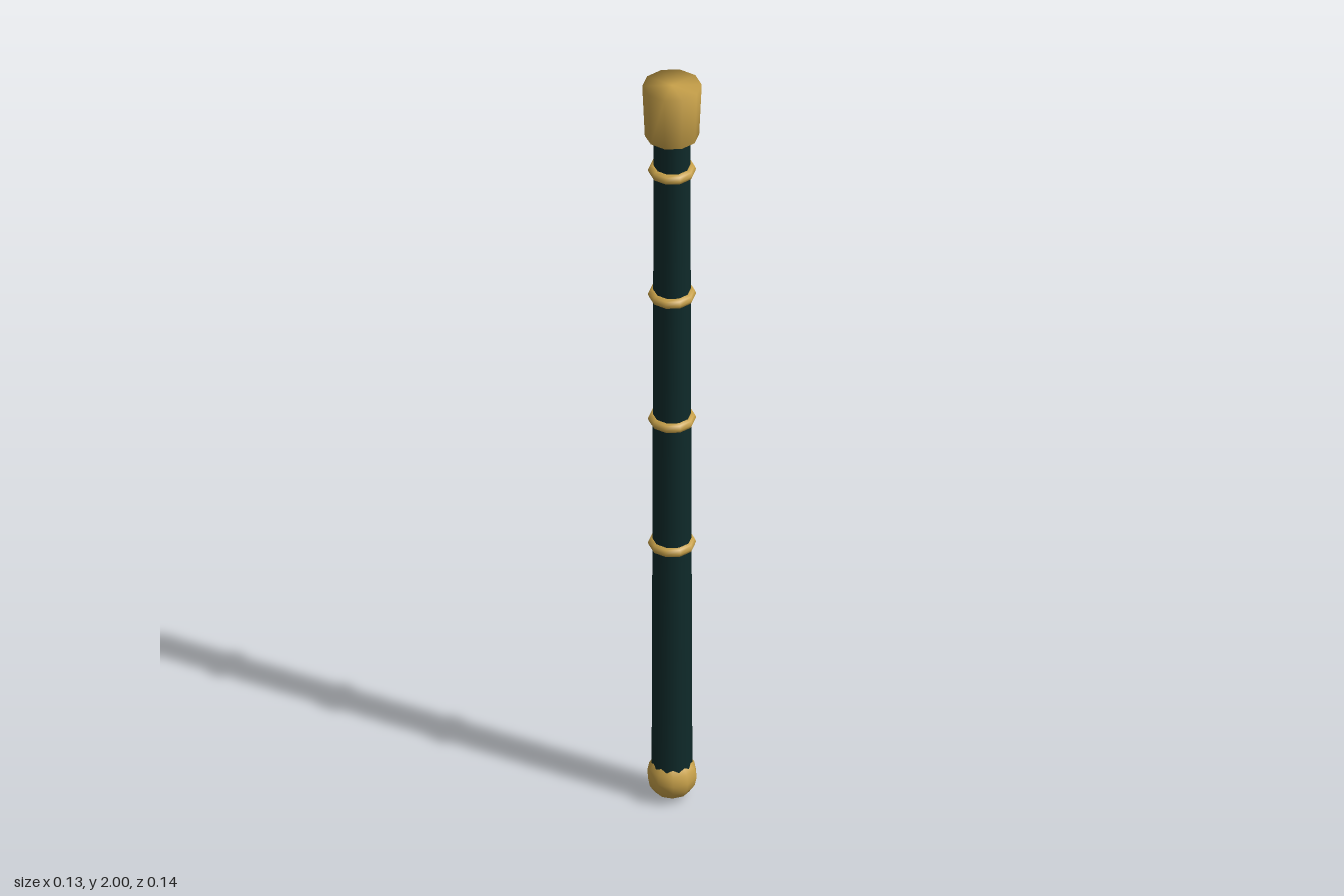
import * as THREE from 'three';
import { mergeVertices } from 'three/addons/utils/BufferGeometryUtils.js';

const SIDES = 10;

// Weld a geometry so its shading runs smoothly over every edge
function soften(geometry) {
  geometry.deleteAttribute('uv');
  geometry.deleteAttribute('normal');
  const welded = mergeVertices(geometry, 1e-4);
  welded.computeVertexNormals();
  return welded;
}

export function createModel() {
  const model = new THREE.Group();
  model.name = 'staff';
  const gold = new THREE.MeshStandardMaterial({ color: 0xc9a24a });
  gold.name = 'gold';
  const darkTeal = new THREE.MeshStandardMaterial({ color: 0x0f2a2a });
  darkTeal.name = 'dark teal';

  function add(name, geometry, material, y) {
    const mesh = new THREE.Mesh(geometry, material);
    mesh.name = name;
    mesh.position.y = y;
    model.add(mesh);
  }

  // Slightly tapered shaft
  add('shaft', soften(new THREE.CylinderGeometry(0.043, 0.048, 1.82, SIDES)), darkTeal, 0.97);

  // Flared head on top
  add('head', soften(new THREE.CylinderGeometry(0.07, 0.064, 0.14, SIDES)), gold, 1.93);

  // Ball foot
  add('foot', soften(new THREE.SphereGeometry(0.06, SIDES, 8)), gold, 0.06);

  // Evenly spaced rings around the shaft
  const ring = new THREE.TorusGeometry(0.044, 0.013, 8, SIDES);
  ring.rotateZ(Math.PI / 2).rotateX(Math.PI / 2);
  for (let i = 0; i < 4; i++) add('ring' + (i + 1), ring, gold, 0.713 + i * 0.35);

  return model;
}
